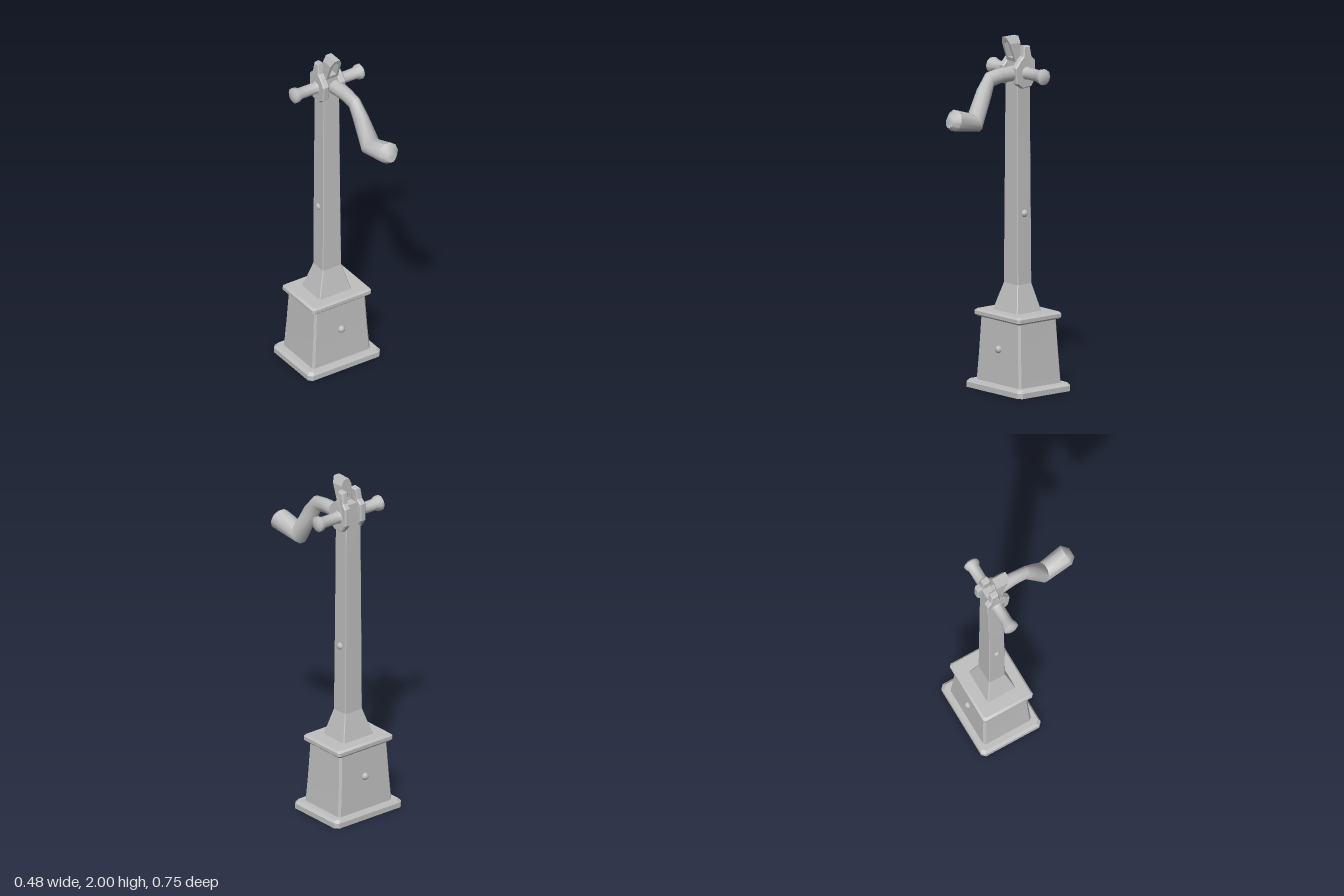
import * as THREE from 'three';
import { toCreasedNormals } from 'three/addons/utils/BufferGeometryUtils.js';

const stone = new THREE.MeshStandardMaterial({ color: 0xc0c0c0 });
stone.name = 'grey stone';

// Skin a list of equal-length rings (counter-clockwise about the direction of travel) and close both ends
function loft(rings, crease) {
  const n = rings[0].length, pos = [], idx = [];
  rings.forEach(r => r.forEach(p => pos.push(...p)));
  for (let k = 0; k < rings.length - 1; k++) {
    for (let i = 0; i < n; i++) {
      const a = k * n + i, b = k * n + (i + 1) % n;
      idx.push(a, b, b + n, a, b + n, a + n);
    }
  }
  const last = (rings.length - 1) * n;
  for (let i = 1; i < n - 1; i++) idx.push(0, i + 1, i, last, last + i, last + i + 1);
  const g = new THREE.BufferGeometry();
  g.setAttribute('position', new THREE.Float32BufferAttribute(pos, 3));
  g.setIndex(idx);
  return toCreasedNormals(g, crease);
}

// Stacked rectangles with cut corners: [y, minX, maxX, minZ, maxZ]
function block(levels, c) {
  return loft(levels.map(([y, a, b, e, f]) => [
    [a + c, y, f], [b - c, y, f], [b, y, f - c], [b, y, e + c],
    [b - c, y, e], [a + c, y, e], [a, y, e + c], [a, y, f - c],
  ]), 0.5);
}

// Round sections in a leaning plane: [x, y, z, radiusX, radius, pitch]
function pipe(sections, sides = 10) {
  return loft(sections.map(([x, y, z, rx, r, pitch]) => Array.from({ length: sides }, (_, i) => {
    const t = i / sides * Math.PI * 2, v = Math.sin(t) * r;
    return [x + Math.cos(t) * rx, y + v * Math.cos(pitch), z - v * Math.sin(pitch)];
  })), 0.9);
}

export function createModel() {
  const model = new THREE.Group();
  const add = (name, geometry, x = 0, y = 0, z = 0) => {
    const m = new THREE.Mesh(geometry, stone);
    m.name = name;
    m.position.set(x, y, z);
    model.add(m);
    return m;
  };

  // Pedestal
  add('plinth', block([
    [0, -0.24, 0.24, -0.37, 0.01], [0.03, -0.24, 0.24, -0.37, 0.01], [0.045, -0.225, 0.225, -0.36, 0]], 0.02));
  add('pedestal', block([
    [0.04, -0.192, 0.192, -0.335, -0.03], [0.2, -0.18, 0.18, -0.328, -0.037],
    [0.415, -0.168, 0.168, -0.318, -0.045]], 0.012));
  add('pedestalCap', block([
    [0.405, -0.185, 0.185, -0.33, -0.03], [0.415, -0.198, 0.195, -0.337, -0.02],
    [0.435, -0.198, 0.195, -0.337, -0.02], [0.445, -0.185, 0.185, -0.325, -0.03]], 0.012));

  // Post with flared foot
  add('postFoot', block([
    [0.44, -0.112, 0.102, -0.265, -0.085], [0.6, -0.063, 0.06, -0.227, -0.125]], 0.004));
  add('post', block([
    [0.59, -0.063, 0.06, -0.227, -0.125], [1.2, -0.059, 0.054, -0.226, -0.128],
    [1.75, -0.055, 0.05, -0.224, -0.13], [1.87, -0.05, 0.05, -0.22, -0.13]], 0.004));

  // Small studs on the pedestal and post
  const stud = new THREE.IcosahedronGeometry(0.022, 1);
  add('pedestalStudFront', stud, 0, 0.24, -0.038);
  add('pedestalStudBack', stud, 0, 0.24, -0.325);
  for (const s of [-1, 1]) add('postStud', stud, s * 0.052, 1.0, -0.177);

  // Cheek plates either side of the post head; profile in (z, y)
  const cheekShape = new THREE.Shape([
    [0.11, 1.74], [0.1, 1.83], [0.135, 1.87], [0.16, 1.89], [0.17, 1.95], [0.212, 1.945],
    [0.22, 1.885], [0.245, 1.86], [0.246, 1.76], [0.215, 1.715], [0.15, 1.71],
  ].map(p => new THREE.Vector2(...p)));
  for (const s of [-1, 1]) {
    const g = new THREE.ExtrudeGeometry(cheekShape, {
      depth: 0.026, bevelEnabled: true, bevelThickness: 0.007, bevelSize: 0.006, bevelOffset: -0.006, bevelSegments: 1,
    });
    g.translate(0, 0, -0.013).rotateY(Math.PI / 2);
    // Extrusion runs along x, shape x becomes -z; lean the tops inward
    const p = g.attributes.position;
    for (let i = 0; i < p.count; i++) p.setX(i, p.getX(i) - s * Math.max(0, p.getY(i) - 1.85) * 0.09);
    g.computeVertexNormals();
    add(s > 0 ? 'leftCheek' : 'rightCheek', g, s * 0.055);
  }

  // Cross handle with swollen ends
  const handleProfile = [
    [0, -0.237], [0.025, -0.237], [0.045, -0.225], [0.045, -0.205], [0.034, -0.185], [0.033, -0.08],
    [0.04, -0.07], [0.04, 0.07], [0.033, 0.08], [0.034, 0.185], [0.045, 0.205], [0.045, 0.222],
    [0.025, 0.235], [0, 0.235],
  ].map(p => new THREE.Vector2(...p));
  const handle = toCreasedNormals(new THREE.LatheGeometry(handleProfile, 10), 0.8);
  add('crossHandle', handle.rotateZ(-Math.PI / 2), 0, 1.795, -0.18);

  // Forward-leaning top loop
  const loop = new THREE.Shape([
    [-0.038, 1.86], [0.038, 1.86], [0.036, 1.965], [0.018, 2], [-0.018, 2], [-0.036, 1.965],
  ].map(p => new THREE.Vector2(...p)));
  loop.holes.push(new THREE.Path([
    [-0.024, 1.88], [-0.019, 1.965], [0, 1.98], [0.019, 1.965], [0.024, 1.88],
  ].map(p => new THREE.Vector2(...p))));
  const loopGeo = new THREE.ExtrudeGeometry(loop, { depth: 1, bevelEnabled: false });
  const lp = loopGeo.attributes.position;
  for (let i = 0; i < lp.count; i++) {
    const t = (lp.getY(i) - 1.86) / 0.14;
    lp.setZ(i, -0.165 + lp.getZ(i) * (0.035 + 0.052 * t));
  }
  loopGeo.computeVertexNormals();
  add('topLoop', loopGeo);

  // Bent spout with a heavy end
  add('spout', pipe([
    [0.02, 1.795, -0.14, 0.045, 0.045, 0],
    [0.025, 1.795, -0.085, 0.042, 0.042, 0],
    [0.027, 1.795, -0.02, 0.037, 0.043, 0],
    [0.028, 1.783, 0.052, 0.035, 0.045, -0.45],
    [0.036, 1.715, 0.098, 0.042, 0.05, -1.05],
    [0.05, 1.562, 0.178, 0.058, 0.06, -0.42],
    [0.064, 1.595, 0.337, 0.064, 0.062, 0.2],
    [0.062, 1.59, 0.372, 0.03, 0.034, 0.2],
  ]));

  return model;
}
